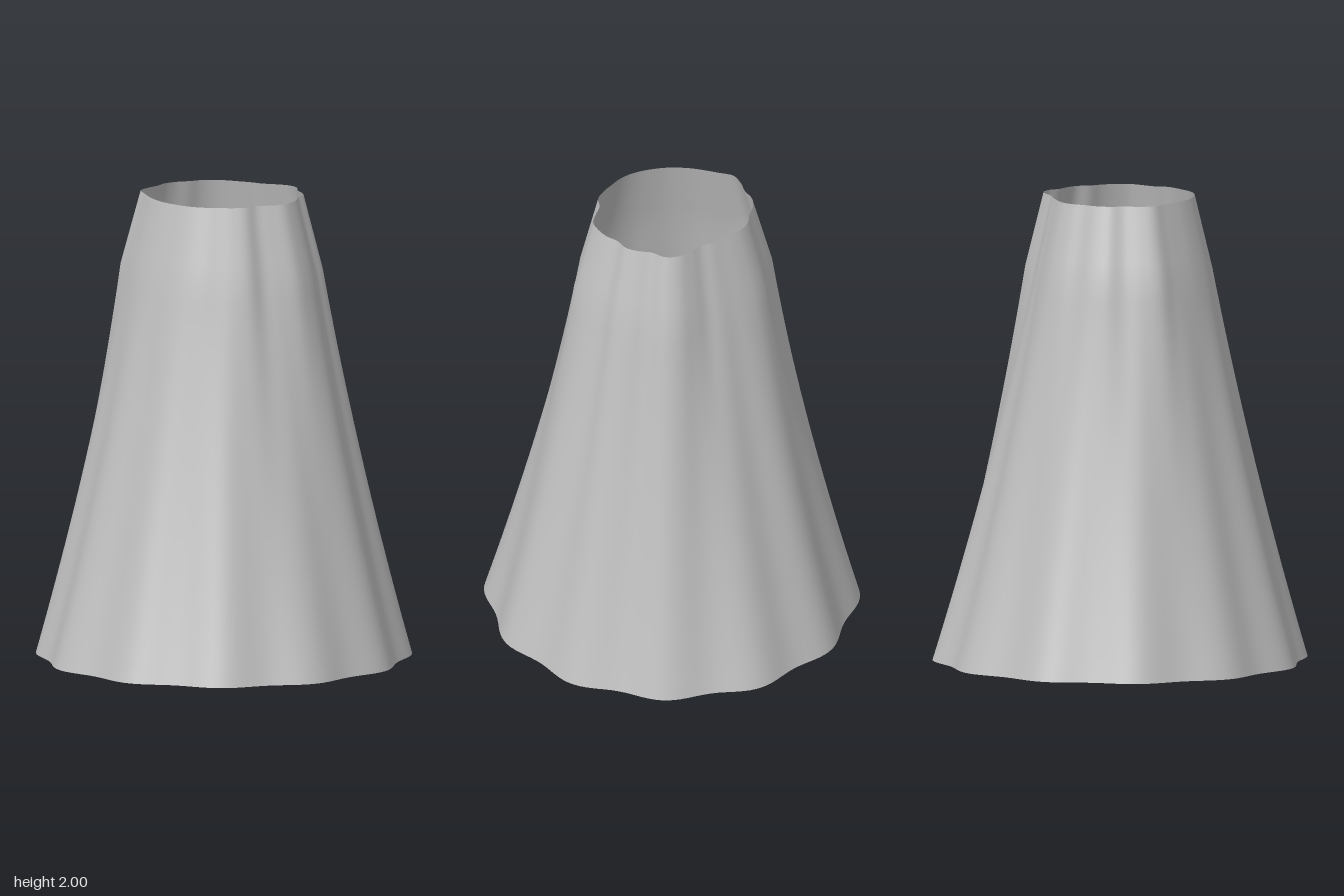
import * as THREE from 'three';

// Top rim radii every 10 degrees, counter-clockwise from +x seen from above
const RIM = [
  0.326, 0.349, 0.347, 0.339, 0.326, 0.341, 0.335, 0.325, 0.348,
  0.343, 0.316, 0.294, 0.296, 0.300, 0.314, 0.330, 0.337, 0.334,
  0.348, 0.354, 0.344, 0.358, 0.368, 0.343, 0.329, 0.323, 0.319,
  0.318, 0.317, 0.320, 0.323, 0.323, 0.320, 0.325, 0.328, 0.311,
];
const SIDES = 180;
const SHOULDER = 1.68; // height where the wall bends inward
const HEIGHT = 2;

export function createModel() {
  const group = new THREE.Group();
  const grey = new THREE.MeshStandardMaterial({ color: 0xc0c0c0, side: THREE.DoubleSide });
  grey.name = 'grey';

  // Smooth closed curve through the rim radii
  const rimCurve = new THREE.CatmullRomCurve3(
    RIM.map((r, i) => {
      const a = (i * Math.PI) / 18;
      return new THREE.Vector3(r * Math.cos(a), 0, -r * Math.sin(a));
    }), true, 'catmullrom', 0.5);

  // Foot ring has twelve even flutes
  const footRadius = (a) => 0.789 + 0.017 * Math.cos(12 * (a - THREE.MathUtils.degToRad(83)));

  // Wall radius: slightly hollow flare up to the shoulder, then a straight taper
  const radius = (a, rim, y) => {
    if (y > SHOULDER) {
      return rim * THREE.MathUtils.lerp(1.24, 1, (y - SHOULDER) / (HEIGHT - SHOULDER));
    }
    return THREE.MathUtils.lerp(footRadius(a), rim * 1.24, y / SHOULDER) - 0.029 * y * (SHOULDER - y);
  };

  const heights = [];
  for (let j = 0; j <= 20; j++) heights.push((SHOULDER * j) / 20);
  for (let j = 1; j <= 4; j++) heights.push(SHOULDER + ((HEIGHT - SHOULDER) * j) / 4);

  const positions = [];
  const indices = [];
  heights.forEach((y, j) => {
    for (let i = 0; i < SIDES; i++) {
      const p = rimCurve.getPoint(i / SIDES);
      const a = Math.atan2(-p.z, p.x);
      const r = radius(a, Math.hypot(p.x, p.z), y);
      positions.push(r * Math.cos(a), y, -r * Math.sin(a));
      if (j === heights.length - 1) continue;
      const n = (i + 1) % SIDES;
      const low = j * SIDES;
      const high = low + SIDES;
      indices.push(low + i, low + n, high + n, low + i, high + n, high + i);
    }
  });

  // Open fluted tube
  const geometry = new THREE.BufferGeometry();
  geometry.setAttribute('position', new THREE.Float32BufferAttribute(positions, 3));
  geometry.setIndex(indices);
  geometry.computeVertexNormals();
  const wall = new THREE.Mesh(geometry, grey);
  wall.name = 'flutedWall';
  group.add(wall);
  return group;
}
